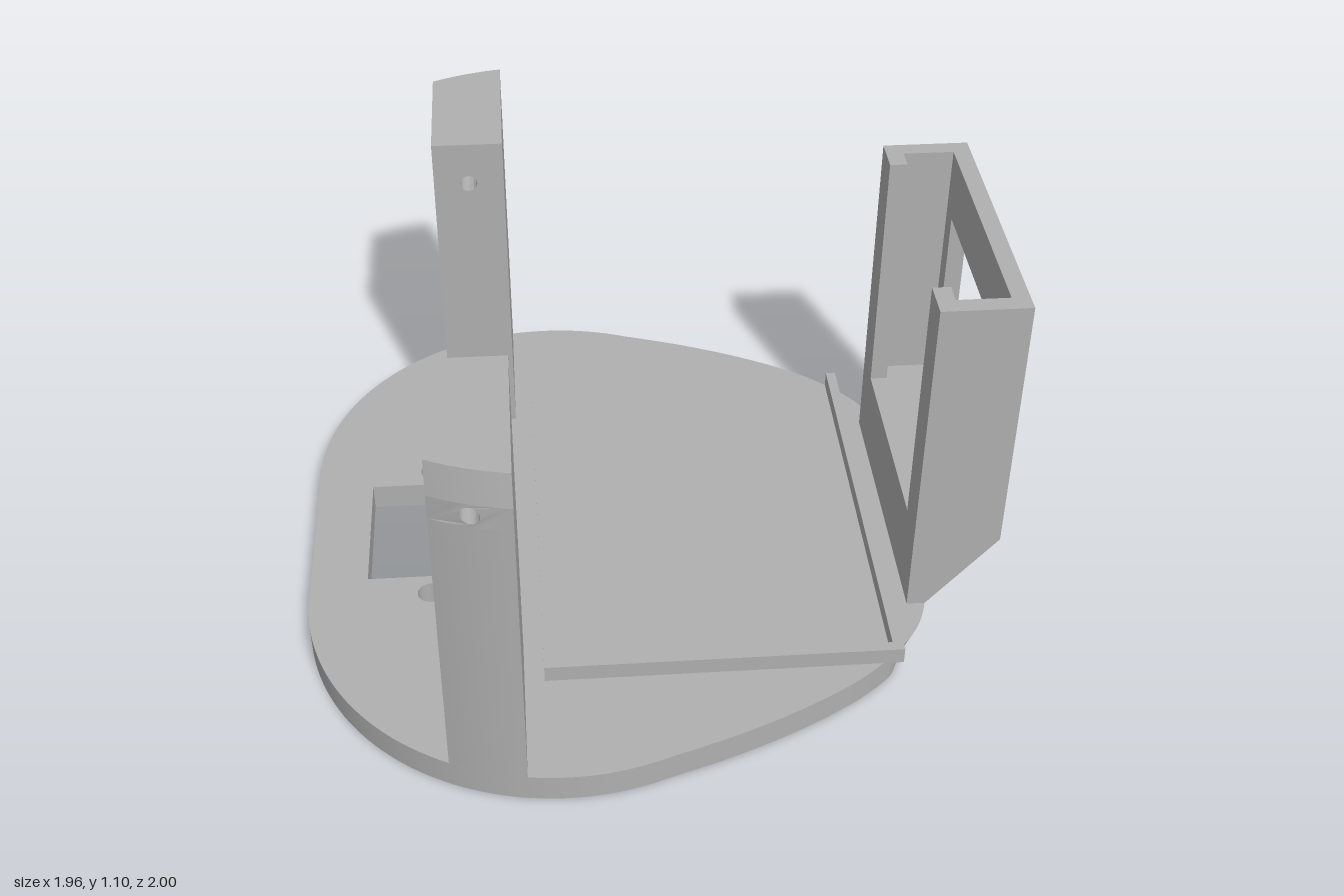
import * as THREE from 'three';
import { toCreasedNormals } from 'three/addons/utils/BufferGeometryUtils.js';

const T = 0.08; // base plate thickness
const grey = new THREE.MeshStandardMaterial({ color: 0xb0b0b0 });
grey.name = 'grey';

export function createModel() {
  const root = new THREE.Group();
  root.name = 'mountingFrame';
  const smooth = THREE.MathUtils.smoothstep;

  const add = (name, geo, parent = root) => {
    const mesh = new THREE.Mesh(geo, grey);
    mesh.name = name;
    parent.add(mesh);
    return mesh;
  };
  const group = (name) => {
    const g = new THREE.Group();
    g.name = name;
    root.add(g);
    return g;
  };
  // box given by its limits on each axis
  const box = (name, x0, x1, y0, y1, z0, z1, parent) => {
    const geo = new THREE.BoxGeometry(x1 - x0, y1 - y0, z1 - z0);
    geo.translate((x0 + x1) / 2, (y0 + y1) / 2, (z0 + z1) / 2);
    return add(name, geo, parent);
  };
  const rect = (x0, x1, y0, y1, Type = THREE.Shape) => new Type([
    [x0, y0], [x1, y0], [x1, y1], [x0, y1],
  ].map(([x, y]) => new THREE.Vector2(x, y)));
  const circle = (x, y, r) => new THREE.Path().absarc(x, y, r, 0, Math.PI * 2, true);
  const extrude = (shape, depth, steps = 1) =>
    new THREE.ExtrudeGeometry(shape, { depth, steps, bevelEnabled: false, curveSegments: 24 });
  // plan shape (x, -z) raised from y0 to y1
  const raise = (shape, y0, y1) => extrude(shape, y1 - y0).rotateX(-Math.PI / 2).translate(0, y0, 0);
  // move every vertex by a rule, then keep the sharp edges
  const reshape = (geo, rule) => {
    const p = geo.attributes.position;
    const v = new THREE.Vector3();
    for (let i = 0; i < p.count; i++) {
      rule(v.fromBufferAttribute(p, i));
      p.setXYZ(i, v.x, v.y, v.z);
    }
    return toCreasedNormals(geo, 0.5);
  };

  // base plate: round at one end, tapering to an undercut nose at the other
  const side = [[0.2, 0.882], [0.4, 0.793], [0.58, 0.685], [0.72, 0.55], [0.782, 0.42], [0.8, 0.27]];
  const sweep = 0.369;
  const plate = new THREE.Shape();
  plate.moveTo(-0.98, 0.28);
  plate.lineTo(-0.98, -0.28);
  plate.absarc(-0.26, -0.28, 0.72, Math.PI, Math.PI * 1.5 + sweep, false);
  plate.splineThru(side.map(([x, y]) => new THREE.Vector2(x, -y)));
  plate.lineTo(0.8, 0.27);
  plate.splineThru([...side.slice(0, -1).reverse(), [0, 0.951]].map(([x, y]) => new THREE.Vector2(x, y)));
  plate.absarc(-0.26, 0.28, 0.72, Math.PI / 2 - sweep, Math.PI, false);
  plate.holes.push(
    rect(-0.815, -0.445, -0.205, 0.21, THREE.Path),
    circle(-0.63, 0.275, 0.039),
    circle(-0.63, -0.275, 0.039),
  );
  add('basePlate', reshape(raise(plate, 0, T), (v) => {
    if (v.y < 0.01) v.x -= 0.066 * smooth(v.x, 0.64, 0.785);
  }));

  // two posts whose outer faces follow the plate's rim
  const px0 = -0.575, px1 = -0.37, inner = 0.52, N = 8;
  const rim = (x) => 0.28 + Math.sqrt(0.72 ** 2 - (x + 0.26) ** 2);
  const xs = Array.from({ length: N + 1 }, (_, i) => px0 + ((px1 - px0) * i) / N);
  for (const s of [1, -1]) {
    const post = group(s > 0 ? 'frontPost' : 'backPost');
    const plan = new THREE.Shape([
      ...xs.map((x) => new THREE.Vector2(x, -s * rim(x))),
      new THREE.Vector2(px1, -s * inner),
      new THREE.Vector2(px0, -s * inner),
    ]);
    add('postShaft', reshape(raise(plan, T, 0.93), () => {}), post);
    // drilled section
    const drilled = new THREE.Shape([
      ...xs.map((x) => new THREE.Vector2(x, 0.93)),
      ...[...xs].reverse().map((x) => new THREE.Vector2(x, 1.0)),
    ]);
    drilled.holes.push(circle(-0.473, 0.965, 0.025));
    add('postDrilledSection', reshape(extrude(drilled, 1), (v) => {
      const outer = s > 0 ? v.z > 0.5 : v.z < 0.5;
      v.z = s * (outer ? rim(v.x) : inner);
    }), post);
    // top section, leaning in slightly on the outside
    add('postTop', reshape(raise(plan, 1.0, 1.095), (v) => {
      if (v.y > 1.05 && Math.abs(v.z) > 0.6) v.z -= s * 0.016;
    }), post);
  }

  // three-sided rail around the tray
  const rails = group('trayRails');
  box('innerRail', -0.315, -0.285, T, 0.13, -0.625, 0.65, rails);
  box('outerRail', 0.65, 0.68, T, 0.13, -0.625, 0.65, rails);
  box('frontRail', -0.285, 0.65, T, 0.13, 0.62, 0.65, rails);

  // upright holder with a window
  const holder = group('windowHolder');
  const x0 = 0.73, x1 = 0.975, w = 0.42, floor = 0.34, top = 1.1;
  // foot with a sloping underside that follows the nose of the plate
  const foot = new THREE.Shape([
    [x0, T], [0.8, T], [x1, 0.29], [x1, floor], [x0, floor],
  ].map(([x, y]) => new THREE.Vector2(x, y)));
  add('holderFoot', reshape(extrude(foot, 2 * w, 28).translate(0, 0, -w), (v) => {
    const inset = 0.018 * smooth(Math.abs(v.z), 0.26, 0.44);
    if (Math.abs(v.x - 0.8) < 0.001) v.x -= inset;
    else if (Math.abs(v.y - 0.29) < 0.001) v.y += inset / 0.83;
  }), holder);
  // outer panel, drawn as (-z, y) and turned to face +x
  const panel = rect(-w, w, floor, top);
  panel.holes.push(rect(-0.31, 0.308, 0.49, 0.912, THREE.Path));
  add('windowPanel', extrude(panel, 0.05).rotateY(Math.PI / 2).translate(0.925, 0, 0), holder);
  for (const s of [1, -1]) {
    const span = (a, b) => (s > 0 ? [a, b] : [-b, -a]);
    box('holderSideWall', x0, 0.925, floor, top, ...span(0.37, w), holder);
    box('holderLip', x0, 0.78, floor, top, ...span(0.31, 0.37), holder);
  }

  return root;
}
